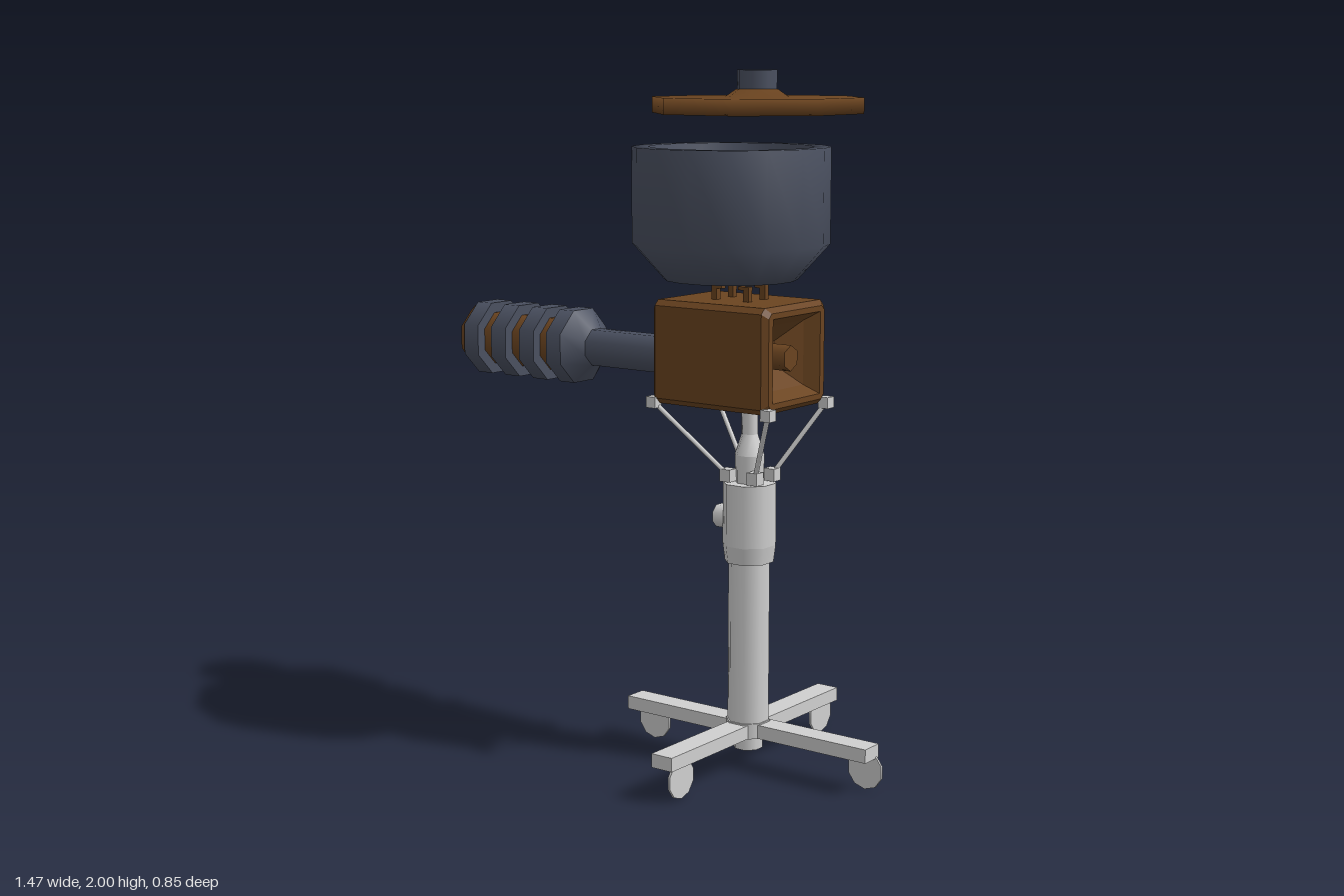
import * as THREE from 'three';

const mat = (name, color) => {
  const m = new THREE.MeshStandardMaterial({ color });
  m.name = name;
  return m;
};

export function createModel() {
  const group = new THREE.Group();
  const brown = mat('brown wood', 0x6b4420);
  const slate = mat('slate', 0x4a5060);
  const grey = mat('light grey metal', 0xd0d0d0);

  const add = (name, geo, material, x = 0, y = 0, z = 0) => {
    const mesh = new THREE.Mesh(geo, material);
    mesh.name = name;
    mesh.position.set(x, y, z);
    group.add(mesh);
    return mesh;
  };
  const box = (name, m, w, h, d, x, y, z) => add(name, new THREE.BoxGeometry(w, h, d), m, x, y, z);
  // Upright prism between two heights; radii are measured to the flats
  const cylY = (name, m, rTop, rBottom, y0, y1, x, z, n = 8) => {
    const k = 1 / Math.cos(Math.PI / n);
    const g = new THREE.CylinderGeometry(rTop * k, rBottom * k, y1 - y0, n).rotateY(Math.PI / n);
    return add(name, g, m, x, (y0 + y1) / 2, z);
  };
  // Prism along x, radius r0 at x0 and r1 at x1
  const cylX = (name, m, r0, r1, x0, x1, y, z, n = 8) => {
    const k = 1 / Math.cos(Math.PI / n);
    const g = new THREE.CylinderGeometry(r0 * k, r1 * k, x1 - x0, n).rotateY(Math.PI / n).rotateZ(Math.PI / 2);
    return add(name, g, m, (x0 + x1) / 2, y, z);
  };
  const lathe = (name, m, pts, n, x, z) => {
    const k = 1 / Math.cos(Math.PI / n);
    const profile = pts.map(([r, y]) => new THREE.Vector2(r * k, y));
    return add(name, new THREE.LatheGeometry(profile, n, Math.PI / n), m, x, 0, z);
  };

  // Floating lid with its knob
  lathe('lid', brown, [[0, 1.88], [0.28, 1.88], [0.28, 1.925], [0.085, 1.925], [0.055, 1.947], [0, 1.947]], 8, 0.27, -0.043);
  cylY('lidKnob', slate, 0.053, 0.053, 1.94, 2, 0.27, -0.043);

  // Hollow bowl
  lathe('bowl', slate, [[0, 1.42], [0.185, 1.42], [0.273, 1.52], [0.273, 1.79], [0.228, 1.79],
    [0.228, 1.55], [0.15, 1.46], [0, 1.46]], 16, 0.24, 0.037);

  // Bevelled housing with a stepped funnel in its left face: [x, half height, half depth, corner cut]
  const cy = 1.213, cz = 0.013;
  const rings = [
    [0.055, 0, 0, 0], [0.055, 0.133, 0.138, 0.014], [0.07, 0.148, 0.153, 0.016], [0.435, 0.148, 0.153, 0.016],
    [0.45, 0.133, 0.138, 0.014], [0.45, 0.117, 0.117, 0], [0.41, 0.092, 0.092, 0],
    [0.35, 0.034, 0.034, 0], [0.35, 0, 0, 0],
  ].map(([x, h, d, c]) => [
    [h, -d + c], [h, d - c], [h - c, d], [-h + c, d], [-h, d - c], [-h, -d + c], [-h + c, -d], [h - c, -d],
  ].map(([y, z]) => [x, cy + y, cz + z]));
  const pos = [];
  for (let i = 0; i < rings.length - 1; i++) {
    for (let j = 0; j < 8; j++) {
      const k = (j + 1) % 8;
      const a = rings[i][j], b = rings[i][k], c = rings[i + 1][k], d = rings[i + 1][j];
      pos.push(...a, ...b, ...c, ...a, ...c, ...d);
    }
  }
  const housing = new THREE.BufferGeometry();
  housing.setAttribute('position', new THREE.Float32BufferAttribute(pos, 3));
  housing.computeVertexNormals();
  add('housing', housing, brown);
  cylX('driveSocket', brown, 0.032, 0.032, 0.345, 0.43, cy - 0.005, cz, 6);

  // Four small hooks on the housing
  for (const sx of [-1, 1]) {
    for (const sz of [-1, 1]) {
      box('hookPost', brown, 0.018, 0.045, 0.018, 0.253 + sx * 0.055, 1.38, 0.01 + sz * 0.04);
      box('hookLip', brown, 0.036, 0.01, 0.018, 0.253 + sx * 0.046, 1.398, 0.01 + sz * 0.04);
    }
  }

  // Side handle: rod, flare, ribbed grip and end
  const hy = 1.183, hz = 0.016;
  cylX('handleRod', slate, 0.053, 0.053, -0.28, 0.04, hy, hz);
  cylX('handleFlare', slate, 0.108, 0.053, -0.315, -0.265, hy, hz);
  cylX('gripCore', brown, 0.078, 0.078, -0.7, -0.36, hy, hz);
  for (const [x0, x1] of [[-0.37, -0.315], [-0.476, -0.419], [-0.588, -0.53], [-0.697, -0.641]]) {
    cylX('gripRib', slate, 0.108, 0.108, x0, x1, hy, hz);
  }
  cylX('gripEnd', brown, 0.08, 0.106, -0.735, -0.697, hy, hz);
  cylX('gripEndDisc', slate, 0.06, 0.06, -0.738, -0.733, hy, hz);

  // Stand column, sleeve and neck
  const sx0 = 0.29, sz0 = 0.01;
  cylY('column', grey, 0.056, 0.056, 0.1, 0.63, sx0, sz0);
  cylY('sleeveTaper', grey, 0.072, 0.066, 0.61, 0.66, sx0, sz0);
  cylY('sleeve', grey, 0.072, 0.072, 0.66, 0.84, sx0, sz0);
  cylX('clampKnob', grey, 0.032, 0.032, 0.183, 0.225, 0.73, sz0);
  cylY('neckBase', grey, 0.04, 0.038, 0.84, 0.92, sx0, sz0);
  cylY('neckTaper', grey, 0.022, 0.04, 0.92, 0.98, sx0, sz0);
  cylY('neckRod', grey, 0.022, 0.022, 0.98, 1.08, sx0, sz0);

  // Four braces with block joints
  for (const x of [-1, 1]) {
    for (const z of [-1, 1]) {
      const top = new THREE.Vector3(0.257 + x * 0.197, 1.068, 0.013 + z * 0.145);
      const low = new THREE.Vector3(0.293 + x * 0.047, 0.862, 0.011 + z * 0.043);
      const dir = top.clone().sub(low);
      const mid = top.clone().add(low).multiplyScalar(0.5);
      const brace = add('brace', new THREE.CylinderGeometry(0.007, 0.007, dir.length(), 6), grey, ...mid.toArray());
      brace.quaternion.setFromUnitVectors(new THREE.Vector3(0, 1, 0), dir.normalize());
      box('upperJoint', grey, 0.032, 0.032, 0.032, ...top.toArray());
      box('lowerJoint', grey, 0.034, 0.036, 0.034, ...low.toArray());
    }
  }

  // Cross base and hub
  box('baseLegAcross', grey, 0.84, 0.04, 0.07, 0.29, 0.116, 0.005);
  box('baseLegAlong', grey, 0.07, 0.04, 0.836, 0.29, 0.116, 0.005);
  cylY('hub', grey, 0.06, 0.06, 0.095, 0.14, sx0, sz0);
  cylY('hubFoot', grey, 0.04, 0.04, 0.055, 0.097, sx0, sz0);

  // Thin caster discs: [x, y, z, lies along x]
  for (const [x, y, z, alongX] of [[-0.04, 0.076, 0.022, true], [0.675, 0.057, -0.018, true],
    [0.309, 0.057, 0.36, false], [0.291, 0.057, -0.37, false]]) {
    const disc = new THREE.CylinderGeometry(0.057, 0.057, 0.007, 10).rotateX(Math.PI / 2);
    if (!alongX) disc.rotateY(Math.PI / 2);
    add('caster', disc, grey, x, y, z);
  }
  return group;
}
